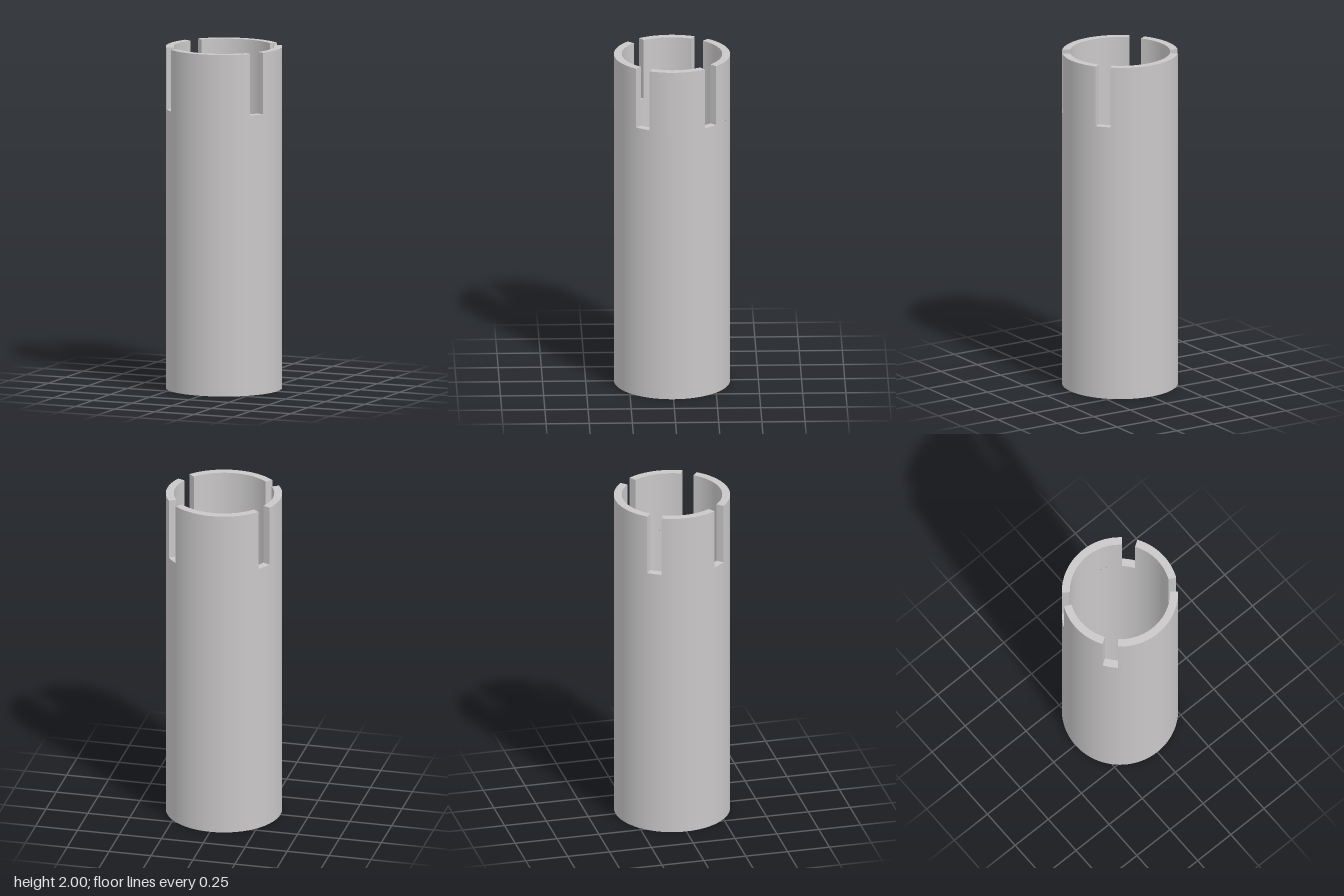
import * as THREE from 'three';
import { mergeGeometries } from 'three/addons/utils/BufferGeometryUtils.js';

const OUTER = 0.337, INNER = 0.291;        // wall radii
const TOP = 2, SLOT_BOTTOM = 1.64, FLOOR = 0.01;
const rad = THREE.MathUtils.degToRad;

// Revolves each straight run of a profile on its own, so corners stay sharp.
function revolve(profile, from = 0, to = 360) {
  const segments = Math.max(4, Math.round((to - from) / 3.6));
  const runs = [];
  for (let i = 0; i < profile.length - 1; i++) {
    const pair = [profile[i], profile[i + 1]].map(([r, y]) => new THREE.Vector2(r, y));
    runs.push(new THREE.LatheGeometry(pair, segments, rad(from), rad(to - from)));
  }
  return mergeGeometries(runs);
}

// Flat radial side wall of a slot, facing forwards or backwards round the tube.
function cheek(angle, forwards) {
  const g = new THREE.PlaneGeometry(OUTER - INNER, TOP - SLOT_BOTTOM);
  if (forwards) g.rotateY(Math.PI);
  g.translate((OUTER + INNER) / 2, (TOP + SLOT_BOTTOM) / 2, 0);
  return g.rotateY(rad(angle - 90));
}

export function createModel() {
  const model = new THREE.Group();
  model.name = 'slottedCup';
  const grey = new THREE.MeshStandardMaterial({ color: 0xc9c7c8 });
  grey.name = 'lightGrey';
  const add = (name, geometry) => {
    const mesh = new THREE.Mesh(geometry, grey);
    mesh.name = name;
    model.add(mesh);
  };

  // Closed base with the outer and inner walls up to the slots
  add('base', revolve([[0, 0], [OUTER, 0]]));
  add('outerWall', revolve([[OUTER, 0], [OUTER, SLOT_BOTTOM]]));
  add('innerWall', revolve([[INNER, SLOT_BOTTOM], [INNER, FLOOR]]));
  add('innerFloor', revolve([[INNER, FLOOR], [0, FLOOR]]));

  // Four slots, as start and end angles, with a wall tab after each
  const slots = [[50.5, 65.6], [122.7, 137.9], [230.5, 245.6], [302.7, 317.9]];
  slots.forEach(([start, end], i) => {
    const next = i < 3 ? slots[i + 1][0] : slots[0][0] + 360;
    add('slotSill', revolve([[OUTER, SLOT_BOTTOM], [INNER, SLOT_BOTTOM]], start, end));
    add('wallTab', mergeGeometries([
      revolve([[OUTER, SLOT_BOTTOM], [OUTER, TOP], [INNER, TOP], [INNER, SLOT_BOTTOM]], end, next),
      cheek(end, false),
      cheek(next, true),
    ]));
  });
  return model;
}
